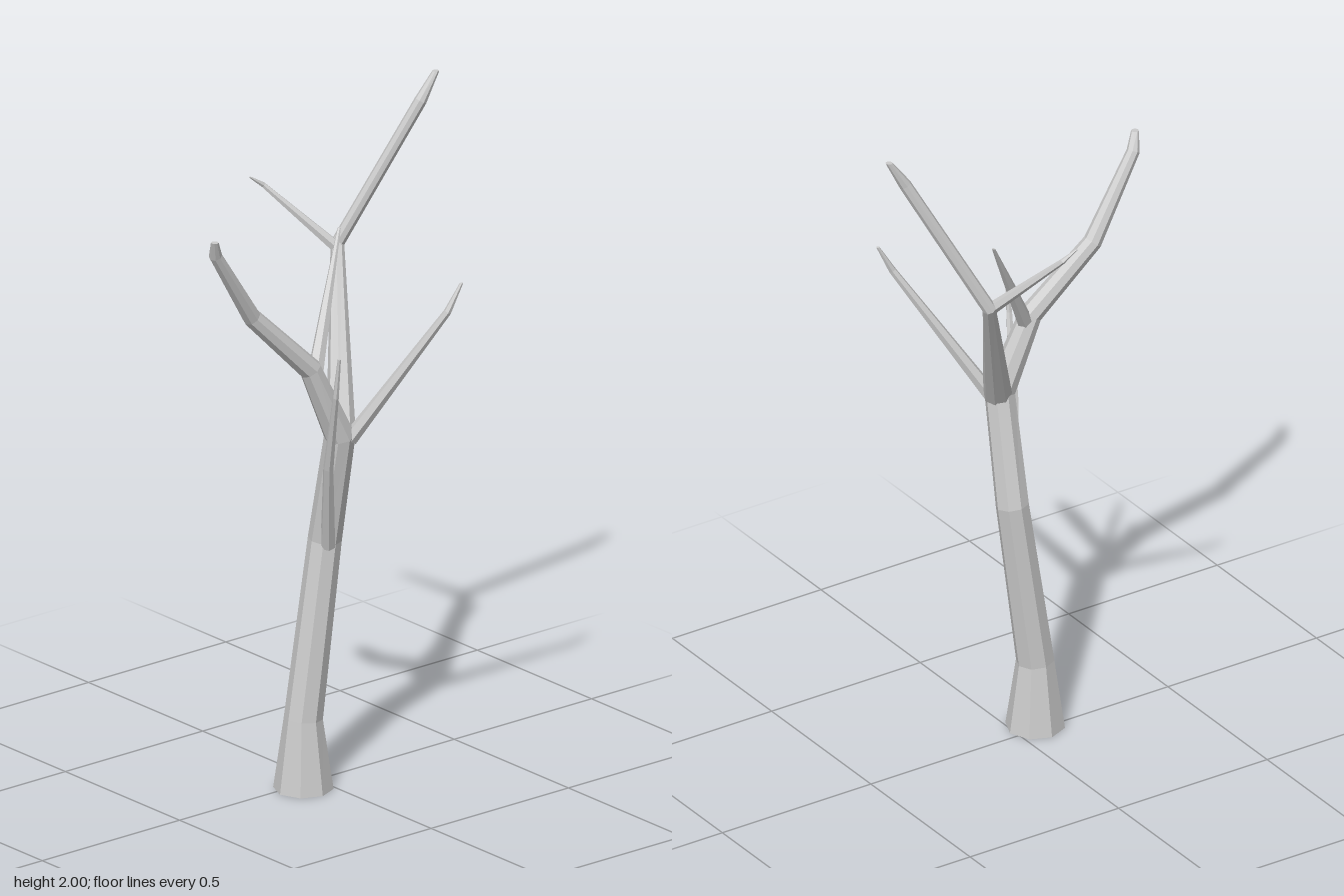
import * as THREE from 'three';

const UP = new THREE.Vector3(0, 1, 0);
const bark = new THREE.MeshStandardMaterial({ color: 0xcccccc, flatShading: true, side: THREE.DoubleSide });

// Tapered, bent limb: nodes are [x, y, z, radius]; level rings at the tip (and at the base if flatBase)
function limb(name, sides, nodes, flatBase = false) {
  const points = nodes.map(([x, y, z]) => new THREE.Vector3(x, y, z));
  const last = points.length - 1;
  const positions = [];
  const indices = [];
  const frame = new THREE.Quaternion();
  let previous = UP;

  points.forEach((point, i) => {
    // Ring plane follows the average of the neighbouring segments
    const tangent = new THREE.Vector3();
    if (i > 0) tangent.add(point.clone().sub(points[i - 1]).normalize());
    if (i < last) tangent.add(points[i + 1].clone().sub(point).normalize());
    if (i === last || (i === 0 && flatBase)) tangent.copy(UP);
    tangent.normalize();
    frame.premultiply(new THREE.Quaternion().setFromUnitVectors(previous, tangent));
    previous = tangent;

    for (let s = 0; s < sides; s++) {
      const a = (s / sides) * Math.PI * 2;
      const v = new THREE.Vector3(Math.sin(a), 0, Math.cos(a))
        .multiplyScalar(nodes[i][3]).applyQuaternion(frame).add(point);
      positions.push(v.x, v.y, v.z);
      if (i < last) {
        const p = i * sides + s;
        const q = i * sides + (s + 1) % sides;
        indices.push(p, q, q + sides, p, q + sides, p + sides);
      }
    }
  });

  // Closed tip
  const tip = positions.length / 3;
  positions.push(...points[last].toArray());
  for (let s = 0; s < sides; s++) {
    indices.push(last * sides + s, last * sides + (s + 1) % sides, tip);
  }

  const geometry = new THREE.BufferGeometry();
  geometry.setAttribute('position', new THREE.Float32BufferAttribute(positions, 3));
  geometry.setIndex(indices);
  geometry.computeVertexNormals();
  const mesh = new THREE.Mesh(geometry, bark);
  mesh.name = name;
  return mesh;
}

export function createModel() {
  const tree = new THREE.Group();
  tree.name = 'bareTree';
  tree.add(
    // Trunk, open at the ground, running on into the front bough
    limb('trunk', 8, [
      [0.025, 0, 0.07, 0.085], [0.025, 0.21, 0.07, 0.055], [0.03, 0.73, -0.004, 0.048],
      [0.1, 1.06, 0, 0.045], [0.092, 1.28, 0.1, 0.033], [0.058, 1.47, 0.285, 0.027],
      [0.085, 1.7, 0.44, 0.019], [0.106, 1.75, 0.46, 0.011],
    ], true),
    // Tall bough at the back
    limb('backBough', 8, [
      [0.1, 1.05, -0.005, 0.042], [-0.16, 1.51, -0.208, 0.02],
      [-0.045, 1.92, -0.415, 0.018], [-0.036, 2, -0.463, 0.01],
    ]),
    // Thin branches
    limb('rightTwig', 6, [
      [-0.15, 1.5, -0.2, 0.018], [-0.3, 1.68, -0.055, 0.008], [-0.31, 1.71, -0.015, 0.004],
    ]),
    limb('middleTwig', 6, [
      [0.092, 1.25, 0.085, 0.024], [0.028, 1.43, -0.012, 0.015], [-0.037, 1.615, -0.112, 0.005],
    ]),
    limb('leftBranch', 6, [
      [0.12, 1.05, -0.02, 0.022], [0.293, 1.43, -0.232, 0.011], [0.306, 1.51, -0.272, 0.005],
    ]),
    limb('lowBranch', 6, [
      [0.06, 0.72, 0.01, 0.022], [0.138, 0.99, 0.073, 0.015],
      [0.21, 1.23, 0.106, 0.009], [0.228, 1.35, 0.108, 0.005],
    ]),
  );
  return tree;
}
